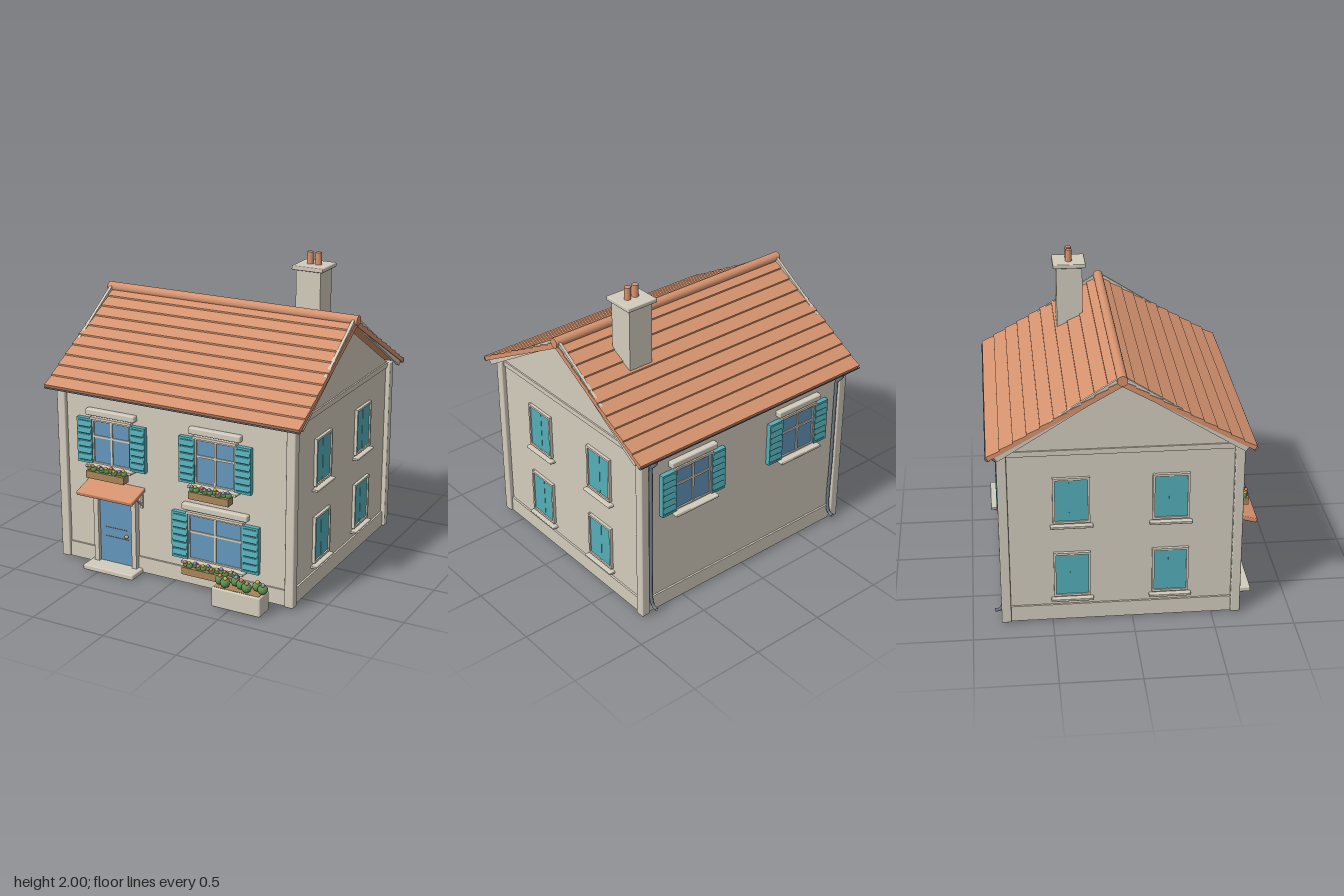
import * as THREE from 'three';
import { RoundedBoxGeometry } from 'three/addons/geometries/RoundedBoxGeometry.js';

const material = (name, color) => Object.assign(new THREE.MeshStandardMaterial({ color }), { name });

export function createModel() {
  const stone = material('stone', 0xd3ccbd);
  const tile = material('terracotta', 0xd6936f);
  const teal = material('tealPaint', 0x55afb9);
  const blue = material('bluePaint', 0x6496bc);
  const metal = material('gutterMetal', 0x6f7984);
  metal.side = THREE.DoubleSide;
  const wood = material('wood', 0xa8845a);
  const leaf = material('leaf', 0x5f9150);
  const gold = material('gold', 0xd9b84a);
  const coral = material('coral', 0xdd7f6a);
  const lilac = material('lilac', 0x9a93bd);

  const house = new THREE.Group();
  house.name = 'house';
  const MID = -0.07; // z of the ridge
  const FRONT = 0.65, BACK = -0.79, SIDE = 0.815; // wall planes

  function add(parent, name, geo, mat, x = 0, y = 0, z = 0) {
    const mesh = new THREE.Mesh(geo, mat);
    mesh.name = name;
    mesh.position.set(x, y, z);
    parent.add(mesh);
    return mesh;
  }
  const box = (parent, name, mat, w, h, d, x, y, z) =>
    add(parent, name, new THREE.BoxGeometry(w, h, d), mat, x, y, z);
  const rounded = (parent, name, mat, w, h, d, x, y, z, r = 0.008) =>
    add(parent, name, new RoundedBoxGeometry(w, h, d, 2, r), mat, x, y, z);
  const ball = (parent, name, mat, r, x, y, z) =>
    add(parent, name, new THREE.SphereGeometry(r, 12, 8), mat, x, y, z);
  function group(parent, name, x, y, z, turn = 0) {
    const g = new THREE.Group();
    g.name = name;
    g.position.set(x, y, z);
    g.rotation.y = turn;
    parent.add(g);
    return g;
  }
  // Extrudes a (z, y) outline along x, centred on x = 0
  function extrudeX(points, width) {
    const shape = new THREE.Shape(points.map(p => new THREE.Vector2(p[0], p[1])));
    return new THREE.ExtrudeGeometry(shape, { depth: width, bevelEnabled: false })
      .translate(0, 0, -width / 2).rotateY(-Math.PI / 2);
  }
  // Closes a half outline, given as (distance from ridge, y), by mirroring it
  const mirrored = half => [
    ...half.map(([d, y]) => [MID + d, y]),
    ...half.slice().reverse().map(([d, y]) => [MID - d, y])];

  // Walls with gables, plinth, band and corner posts
  add(house, 'walls', extrudeX(
    [[FRONT, 0.01], [FRONT, 1.18], [MID, 1.615], [BACK, 1.18], [BACK, 0.01]], SIDE * 2), stone);
  box(house, 'plinth', stone, 1.655, 0.105, 1.465, 0, 0.0625, MID);
  box(house, 'eavesBand', stone, 1.65, 0.034, 1.46, 0, 1.173, MID);
  for (const x of [-0.815, 0.815]) for (const z of [0.65, -0.79])
    rounded(house, 'cornerPost', stone, 0.06, 1.18, 0.06, x, 0.6, z);

  // Roof: overlapping tile courses on both slopes
  const COURSES = 10, RUN = 0.81, RISE = 0.465, TOP = 1.655;
  const upper = [];
  for (let i = 0; i < COURSES; i++) {
    const a = i / COURSES, b = (i + 1) / COURSES;
    upper.push([RUN * a, TOP - RISE * a], [RUN * b, TOP - RISE * b + 0.01]);
  }
  const slopes = [1, -1];
  for (const s of slopes) {
    const outline = [...upper, [RUN - 0.015, TOP - RISE - 0.018], [0, TOP - 0.035]];
    add(house, 'roofSlope', extrudeX(outline.map(([d, y]) => [MID + s * d, y]), 1.79), tile);
  }
  add(house, 'ridgeTile', new THREE.CylinderGeometry(0.032, 0.032, 1.81, 20).rotateZ(Math.PI / 2),
    tile, 0, 1.659, MID);

  // Bargeboards following each gable
  const barge = mirrored([[0, 1.63], [0.74, 1.165], [0.765, 1.195], [0, 1.687]]);
  for (const x of [-0.88, 0.88]) for (const s of slopes)
    add(house, 'bargeboard', extrudeX(barge.slice(s > 0 ? 0 : 4, s > 0 ? 4 : 8), 0.019), stone, x);

  // Gutters at both eaves, downpipes at the back
  for (const z of [0.727, -0.867])
    add(house, 'gutter', new THREE.CylinderGeometry(0.018, 0.018, 1.79, 12, 1, true, Math.PI, Math.PI)
      .rotateZ(Math.PI / 2), metal, 0, 1.188, z);
  for (const x of [-0.765, 0.765]) {
    const path = new THREE.CatmullRomCurve3([[1.18, -0.865], [1.14, -0.85], [1.1, -0.812], [1.04, -0.81],
      [0.5, -0.81], [0.1, -0.81], [0.065, -0.825], [0.058, -0.86]]
      .map(([y, z]) => new THREE.Vector3(x, y, z)), false, 'centripetal');
    add(house, 'downpipe', new THREE.TubeGeometry(path, 40, 0.011, 10), metal);
  }

  // Chimney with cap and two pots
  box(house, 'chimneyStack', stone, 0.17, 0.5, 0.17, 0.49, 1.65, -0.295);
  rounded(house, 'chimneyCap', stone, 0.215, 0.028, 0.215, 0.49, 1.908, -0.295, 0.006);
  for (const x of [0.463, 0.52])
    add(house, 'chimneyPot', new THREE.CylinderGeometry(0.02, 0.022, 0.08, 16), tile, x, 1.96, -0.295);

  // Louvred shutter
  function shutter(parent, w, h, x) {
    const g = group(parent, 'shutter', x, 0, 0.014);
    box(g, 'shutterBack', teal, w - 0.01, h - 0.01, 0.02, 0, 0, 0);
    for (const s of slopes) box(g, 'shutterStile', teal, 0.014, h, 0.036, s * (w / 2 - 0.007), 0, 0);
    for (const s of slopes) box(g, 'shutterRail', teal, w, 0.014, 0.036, 0, s * (h / 2 - 0.007), 0);
    const n = 6, pitch = (h - 0.03) / n;
    for (let i = 0; i < n; i++)
      rounded(g, 'louvre', teal, w - 0.008, pitch * 0.86, 0.014, 0,
        -h / 2 + 0.015 + pitch * (i + 0.5), 0.013, 0.005).rotation.x = -0.16;
  }

  // Window box with leaves and blooms
  function windowBox(parent, w, y, blooms) {
    const g = group(parent, 'windowBox', 0, y, 0.08);
    box(g, 'trough', wood, w, 0.048, 0.06, 0, 0, 0);
    const n = Math.round(w / 0.032);
    for (let i = 0; i < n; i++) {
      const x = (i + 0.5) / n * w - w / 2, z = Math.sin(i * 2.3) * 0.012;
      ball(g, 'leaves', leaf, 0.02, x, 0.035, z);
      ball(g, 'bloom', blooms[i % blooms.length], 0.011, x, 0.054 + Math.sin(i * 1.7) * 0.006, z + 0.01);
    }
  }

  // Shuttered window facing local +z, centred on its glass
  function shutteredWindow(x, y, w, h, shutterW, barY, turn, blooms) {
    const g = group(house, 'shutteredWindow', x, y, turn ? BACK : FRONT, turn);
    box(g, 'glass', blue, w, h, 0.01, 0, 0, 0.008);
    for (const s of slopes) {
      box(g, 'frameSide', stone, 0.012, h, 0.022, s * (w / 2 - 0.004), 0, 0.011);
      box(g, 'frameRail', stone, w, 0.012, 0.022, 0, s * (h / 2 - 0.006), 0.011);
      shutter(g, shutterW, h, s * (w + shutterW) / 2);
    }
    box(g, 'mullion', stone, 0.014, h, 0.016, 0, 0, 0.012);
    box(g, 'glazingBar', stone, w, 0.014, 0.016, 0, barY, 0.012);
    box(g, 'headTrim', stone, w + 0.02, 0.016, 0.036, 0, h / 2 + 0.008, 0.016);
    rounded(g, 'lintel', stone, w + 0.08, 0.042, 0.045, 0, h / 2 + 0.048, 0.018);
    rounded(g, 'sill', stone, w + 0.06, 0.018, 0.07, 0, -h / 2 - 0.006, 0.035, 0.005);
    if (blooms) windowBox(g, w, -h / 2 - 0.044, blooms);
  }
  shutteredWindow(-0.445, 0.85, 0.28, 0.3, 0.11, 0.035, 0, [gold, coral, gold, lilac]);
  shutteredWindow(0.3, 0.85, 0.28, 0.3, 0.11, 0.035, 0, [lilac, gold, coral, lilac]);
  shutteredWindow(0.3, 0.338, 0.38, 0.31, 0.115, 0.035, 0, [coral, gold, lilac]);
  for (const x of [-0.435, 0.435]) shutteredWindow(x, 0.85, 0.28, 0.3, 0.11, 0.035, Math.PI);

  // Closed gable windows, four on each side
  for (const s of slopes) for (const z of [0.235, -0.375]) for (const y of [0.85, 0.333]) {
    const g = group(house, 'gableWindow', s * SIDE, y, z, s * Math.PI / 2);
    for (const e of slopes) {
      box(g, 'frameSide', stone, 0.014, 0.31, 0.022, e * 0.107, 0, 0.009);
      box(g, 'frameRail', stone, 0.228, 0.014, 0.022, 0, e * 0.147, 0.009);
      box(g, 'panel', teal, 0.096, 0.282, 0.012, e * 0.052, 0, 0.005);
    }
    box(g, 'meetingStrip', teal, 0.026, 0.282, 0.016, 0, 0, 0.005);
    rounded(g, 'sill', stone, 0.265, 0.016, 0.05, 0, -0.177, 0.012, 0.005);
  }

  // Front door with frame, step and canopy
  const door = group(house, 'door', -0.422, 0, FRONT);
  box(door, 'doorLeaf', blue, 0.25, 0.47, 0.016, 0, 0.245, 0.01);
  for (const y of [0.275, 0.212]) box(door, 'doorGroove', metal, 0.17, 0.006, 0.004, 0, y, 0.019);
  ball(door, 'doorKnob', gold, 0.013, 0.08, 0.24, 0.03);
  for (const s of slopes) box(door, 'doorPost', stone, 0.034, 0.5, 0.045, s * 0.141, 0.26, 0.02);
  box(door, 'doorHead', stone, 0.316, 0.034, 0.045, 0, 0.498, 0.02);
  rounded(door, 'doorStep', stone, 0.375, 0.035, 0.15, 0, 0.0175, 0.065);
  rounded(door, 'canopy', tile, 0.415, 0.028, 0.172, 0, 0.557, 0.078, 0.006).rotation.x = 0.27;
  for (const s of slopes) {
    box(door, 'canopyBracket', stone, 0.014, 0.012, 0.12, s * 0.187, 0.515, 0.05).rotation.x = -0.75;
    box(door, 'bracketPlate', stone, 0.014, 0.09, 0.014, s * 0.187, 0.5, 0.008);
  }

  // Stone planter with shrubs
  const planter = group(house, 'planter', 0.553, 0, 0.818);
  rounded(planter, 'planterTrough', stone, 0.335, 0.13, 0.125, 0, 0.075, 0, 0.01);
  box(planter, 'soil', wood, 0.305, 0.006, 0.1, 0, 0.139, 0);
  for (let i = 0; i < 7; i++) {
    const x = -0.138 + i * 0.049, z = Math.sin(i * 2.1) * 0.028;
    ball(planter, 'shrub', leaf, 0.032, x, 0.172, z);
    ball(planter, 'shrubBloom', [coral, gold, lilac, coral][i % 4], 0.013, x + 0.005, 0.203, z + 0.008);
  }
  return house;
}
